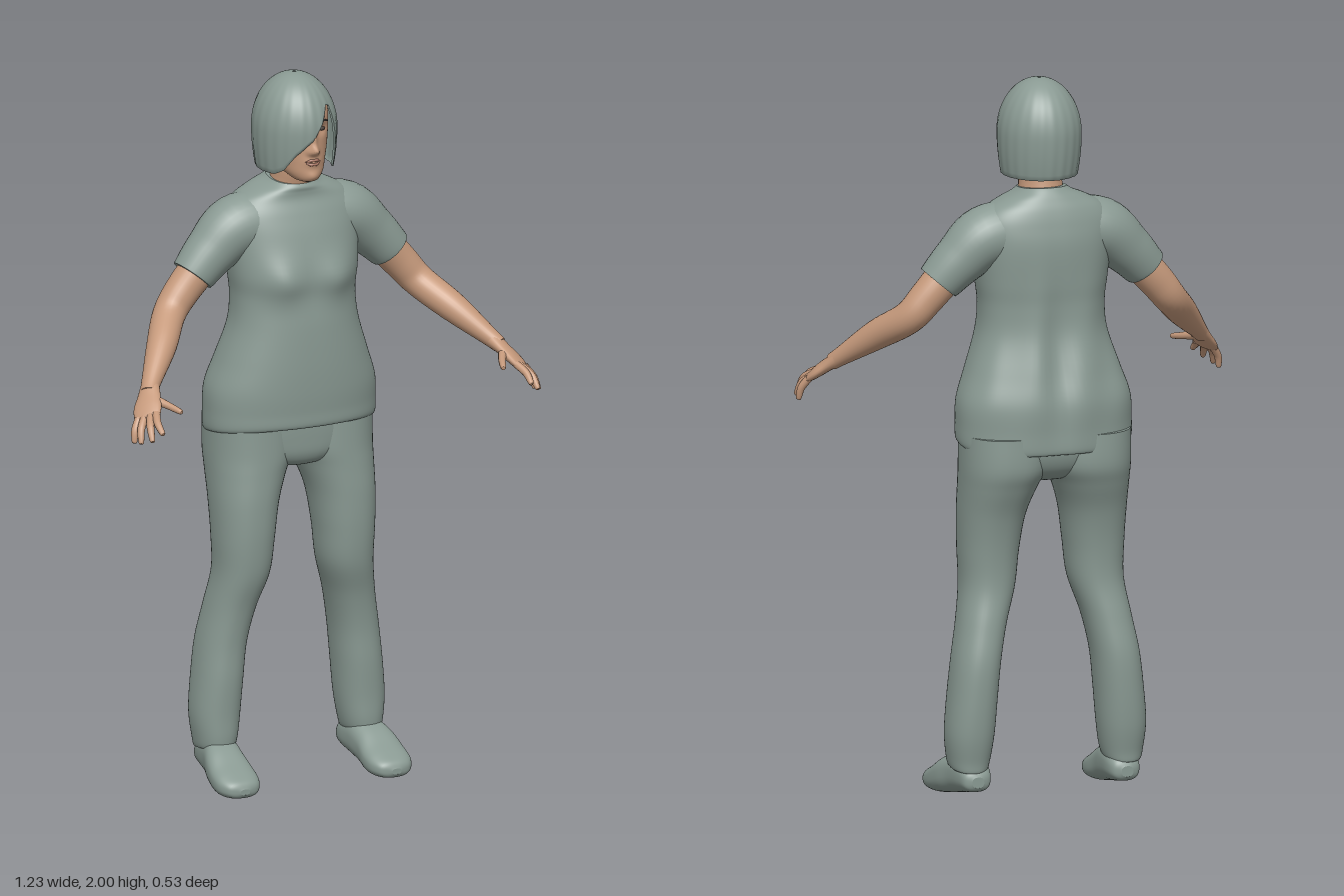
import * as THREE from 'three';

const mat = (name, color) => {
  const m = new THREE.MeshStandardMaterial({ color });
  m.name = name;
  return m;
};

// Catmull-Rom densifying of rows of numbers, k steps per span
function smooth(rows, k) {
  const out = [], last = rows.length - 1;
  for (let i = 0; i < last; i++) {
    const [a, b, c, d] = [rows[Math.max(i - 1, 0)], rows[i], rows[i + 1], rows[Math.min(i + 2, last)]];
    for (let s = 0; s < k; s++) {
      const t = s / k;
      out.push(b.map((_, j) => b[j] + 0.5 * t * (c[j] - a[j] +
        t * (2 * a[j] - 5 * b[j] + 4 * c[j] - d[j] + t * (3 * (b[j] - c[j]) + d[j] - a[j])))));
    }
  }
  out.push(rows[last]);
  return out;
}

// Skin over closed rings of Vector3, with crisp end caps
function skin(rings, caps = true) {
  const n = rings[0].length, pos = [], idx = [];
  rings.forEach(r => r.forEach(p => pos.push(p.x, p.y, p.z)));
  for (let i = 0; i < rings.length - 1; i++)
    for (let j = 0; j < n; j++) {
      const a = i * n + j, b = i * n + (j + 1) % n;
      idx.push(a, b, a + n, b, b + n, a + n);
    }
  if (caps) [rings[0], rings[rings.length - 1]].forEach((r, e) => {
    const base = pos.length / 3, c = new THREE.Vector3();
    r.forEach(p => { pos.push(p.x, p.y, p.z); c.addScaledVector(p, 1 / n); });
    pos.push(c.x, c.y, c.z);
    for (let j = 0; j < n; j++) {
      const a = base + j, b = base + (j + 1) % n;
      if (e) idx.push(a, b, base + n); else idx.push(b, a, base + n);
    }
  });
  const g = new THREE.BufferGeometry();
  g.setAttribute('position', new THREE.Float32BufferAttribute(pos, 3));
  g.setIndex(idx);
  g.computeVertexNormals();
  return g;
}

const pw = (v, p) => Math.sign(v) * Math.abs(v) ** (2 / p);

// Loft of superellipses. axis y: rows [y, x0, x1, zBack, zFront]; axis z: rows [z, x0, x1, y0, y1]
function loft(rows, { n = 48, k = 6, p = 2, axis = 'y', bend } = {}) {
  return skin(smooth(rows, k).map(([t, a0, a1, b0, b1]) => Array.from({ length: n }, (_, j) => {
    const f = j / n * Math.PI * 2;
    const a = (a0 + a1) / 2 + (a1 - a0) / 2 * pw(Math.sin(f), p);
    const b = (b0 + b1) / 2 + (b1 - b0) / 2 * pw(Math.cos(f), p);
    const v = axis === 'y' ? new THREE.Vector3(a, t, b) : new THREE.Vector3(a, b, t);
    if (bend) bend(v);
    return v;
  })));
}

// Limb along a path: rows [x, y, z, halfWidth, halfThickness]; side is the width direction
function limb(rows, side = [0, 0, -1], n = 20, k = 6) {
  const r = smooth(rows, k), at = i => new THREE.Vector3(...r[Math.min(Math.max(i, 0), r.length - 1)]);
  return skin(r.map((row, i) => {
    const T = at(i + 1).sub(at(i - 1)).normalize(), S = new THREE.Vector3(...side);
    S.addScaledVector(T, -S.dot(T)).normalize();
    const N = S.clone().cross(T);
    return Array.from({ length: n }, (_, j) => {
      const f = j / n * Math.PI * 2;
      return at(i).addScaledVector(S, row[3] * Math.sin(f)).addScaledVector(N, row[4] * Math.cos(f));
    });
  }));
}

function mirror(geo) {
  const g = geo.clone().scale(-1, 1, 1), ix = g.index.array;
  for (let i = 0; i < ix.length; i += 3) [ix[i], ix[i + 1]] = [ix[i + 1], ix[i]];
  g.computeVertexNormals();
  return g;
}

const bump = (d, s) => Math.exp(-(d * d) / (s * s));

// Bob: dome whose lower edge follows a hairline given as [angle, height]
function bob() {
  const line = [[-180, 1.735], [-60, 1.735], [-44, 1.75], [-26, 1.795], [0, 1.84], [15, 1.885], [28, 1.925],
    [36, 1.92], [42, 1.84], [48, 1.75], [60, 1.735], [180, 1.735]];
  const edge = a => {
    const i = line.findIndex((l, j) => j > 0 && a <= l[0]), [p, q] = [line[i - 1], line[i]];
    return p[1] + (q[1] - p[1]) * (a - p[0]) / (q[0] - p[0]);
  };
  const rings = [], n = 180, m = 32;
  for (let i = 0; i <= m + 1; i++) rings.push(Array.from({ length: n }, (_, j) => {
    const deg = j / n * 360 - 180, f = deg * Math.PI / 180, v = Math.min(i / m, 1);
    const d = (2 - edge(deg)) * (0.0005 + 0.9995 * v ** 1.7);
    let s = d < 0.15 ? Math.sqrt(1 - ((0.15 - d) / 0.15) ** 2) : 1 - 7 * (d - 0.15) ** 2;
    s *= 1 + 0.007 * v * Math.sin(f * 22 + 3 * v);
    if (i > m) s *= 0.95; // tucked rim
    return new THREE.Vector3(0.114 * s * Math.sin(f), 2 - d, -0.07 + 0.131 * s * Math.cos(f));
  }).reverse());
  return skin(rings, false);
}

export function createModel() {
  const model = new THREE.Group();
  const cloth = mat('greyGreen', 0x8a9a93), skinTone = mat('skin', 0xc69a7c);
  const dark = mat('darkEye', 0x4c423c), lip = mat('lips', 0xab7866);
  const hairMat = mat('hairGreyGreen', 0x8a9a93);
  hairMat.side = THREE.DoubleSide;

  const add = (name, geo, m) => {
    const mesh = new THREE.Mesh(geo, m);
    mesh.name = name;
    model.add(mesh);
  };
  const both = (name, geo, m) => {
    add(name + 'Left', geo, m);
    add(name + 'Right', mirror(geo), m);
  };
  const sym = rows => rows.map(([y, w, zb, zf]) => [y, -w, w, zb, zf]);

  // Head with modelled face
  add('head', loft(sym([
    [1.712, 0.018, -0.02, 0.028], [1.72, 0.036, -0.05, 0.044], [1.74, 0.055, -0.1, 0.05],
    [1.77, 0.068, -0.15, 0.051], [1.81, 0.078, -0.17, 0.05], [1.86, 0.083, -0.18, 0.05],
    [1.91, 0.082, -0.175, 0.044], [1.95, 0.062, -0.15, 0.015], [1.975, 0.03, -0.1, -0.03],
  ]), { n: 112, k: 9, bend: v => {
    if (v.z < -0.01) return;
    const ax = Math.abs(v.x), { x, y } = v;
    v.z += 0.024 * bump(x, 0.012) * bump(y - 1.808, 0.014) + 0.012 * bump(x, 0.011) * bump(y - 1.838, 0.026)
      + 0.007 * bump(ax - 0.012, 0.008) * bump(y - 1.802, 0.009)
      - 0.009 * bump(ax - 0.032, 0.017) * bump(y - 1.86, 0.013) + 0.004 * bump(x, 0.05) * bump(y - 1.886, 0.012)
      + 0.006 * bump(x, 0.02) * bump(y - 1.774, 0.014) + 0.006 * bump(x, 0.02) * bump(y - 1.732, 0.014);
  } }), skinTone);
  both('eye', new THREE.SphereGeometry(1, 16, 10).scale(0.013, 0.006, 0.006).translate(0.032, 1.86, 0.031), dark);
  both('brow', limb([[0.014, 1.88, 0.048, 0.002, 0.002], [0.034, 1.886, 0.043, 0.003, 0.003],
    [0.054, 1.879, 0.027, 0.002, 0.002]], [0, 1, 0], 8), dark);
  [['upperLip', 1.779], ['lowerLip', 1.768]].forEach(([name, y]) => add(name, limb([
    [-0.023, 1.774, 0.046, 0.001, 0.001], [-0.01, y, 0.0535, 0.004, 0.004], [0, y, 0.055, 0.004, 0.004],
    [0.01, y, 0.0535, 0.004, 0.004], [0.023, 1.774, 0.046, 0.001, 0.001]], [0, 1, 0], 10), lip));
  add('hair', bob(), hairMat);
  add('neck', loft(sym([[1.64, 0.075, -0.16, -0.03], [1.69, 0.062, -0.152, -0.018],
    [1.73, 0.058, -0.145, -0.008], [1.78, 0.058, -0.14, -0.01]])), skinTone);

  // Loose shirt with bust, spine groove and soft folds
  add('shirt', loft(sym([
    [1.02, 0.222, -0.235, 0.025], [1.0, 0.235, -0.25, 0.04], [1.008, 0.245, -0.259, 0.05],
    [1.05, 0.246, -0.26, 0.052], [1.12, 0.242, -0.26, 0.056], [1.2, 0.215, -0.242, 0.057],
    [1.3, 0.183, -0.218, 0.053], [1.38, 0.176, -0.213, 0.045], [1.45, 0.184, -0.216, 0.046],
    [1.55, 0.193, -0.217, 0.024], [1.61, 0.192, -0.208, 0.004], [1.65, 0.165, -0.197, -0.012],
    [1.675, 0.122, -0.184, -0.014], [1.692, 0.082, -0.172, -0.012], [1.703, 0.066, -0.163, -0.017],
  ]), { n: 96, p: 2.3, bend: v => {
    const { x, y, z } = v, front = THREE.MathUtils.clamp((z + 0.1) / 0.14, -1, 1);
    if (z > -0.08) v.z += 0.018 * bump(Math.abs(x) - 0.085, 0.055) * bump(y - 1.435, 0.06) * Math.max(front, 0);
    else {
      const w = bump(y - 1.28, 0.2) * Math.min(1, -front);
      v.z += w * (0.016 * bump(x, 0.035) + 0.005 * Math.sin(x * 45 + y * 7));
    }
    v.y += 0.018 * front * bump(y - 1, 0.07) - 0.014 * front * bump(y - 1.7, 0.03);
  } }), cloth);
  both('sleeve', limb([[0.06, 1.585, -0.1, 0.085, 0.085], [0.165, 1.572, -0.1, 0.088, 0.086],
    [0.24, 1.512, -0.097, 0.073, 0.072], [0.288, 1.463, -0.092, 0.063, 0.063],
    [0.298, 1.452, -0.091, 0.06, 0.06]], [0, 0, -1], 32), cloth);

  // Arms and hands
  both('arm', limb([[0.26, 1.49, -0.092, 0.053, 0.053], [0.33, 1.412, -0.09, 0.048, 0.049],
    [0.378, 1.355, -0.072, 0.046, 0.045], [0.44, 1.295, 0.01, 0.042, 0.041],
    [0.51, 1.225, 0.092, 0.028, 0.026], [0.53, 1.204, 0.118, 0.026, 0.022]], [0, 0, -1], 28), skinTone);
  const across = [0.7, -0.3, -0.6];
  both('palm', limb([[0.517, 1.218, 0.1, 0.026, 0.023], [0.535, 1.196, 0.13, 0.034, 0.018],
    [0.552, 1.175, 0.157, 0.041, 0.016], [0.564, 1.157, 0.182, 0.038, 0.012],
    [0.568, 1.151, 0.19, 0.03, 0.006]], across), skinTone);
  [['indexFinger', [0.545, 1.167, 0.196], [0.557, 1.15, 0.232], [0.557, 1.13, 0.262]],
    ['middleFinger', [0.558, 1.161, 0.188], [0.576, 1.14, 0.225], [0.582, 1.11, 0.25]],
    ['ringFinger', [0.571, 1.155, 0.177], [0.592, 1.13, 0.2], [0.6, 1.098, 0.217]],
    ['littleFinger', [0.583, 1.15, 0.165], [0.6, 1.122, 0.178], [0.605, 1.092, 0.185]],
    ['thumb', [0.532, 1.195, 0.14], [0.506, 1.184, 0.185], [0.488, 1.175, 0.23]],
  ].forEach(([name, a, b, c]) => {
    const r = name === 'thumb' ? 0.014 : 0.011, tip = c.map((v, i) => v + (c[i] - b[i]) * 0.1);
    both(name, limb([[...a, r, r], [...b, 0.0105, 0.0105], [...c, 0.0075, 0.0075], [...tip, 0.002, 0.002]],
      across, 12), skinTone);
  });

  // Trousers
  add('trouserSeat', loft(sym([[0.885, 0.03, -0.12, -0.06], [0.9, 0.09, -0.18, -0.01], [0.93, 0.17, -0.22, 0.012],
    [0.98, 0.222, -0.24, 0.018], [1.04, 0.232, -0.24, 0.02]]), { p: 2.4 }), cloth);
  both('trouserLeg', loft([
    [0.115, 0.185, 0.255, -0.165, -0.06], [0.1, 0.172, 0.27, -0.182, -0.045], [0.13, 0.162, 0.278, -0.187, -0.04],
    [0.2, 0.152, 0.284, -0.2, -0.039], [0.3, 0.144, 0.276, -0.206, -0.034], [0.4, 0.134, 0.264, -0.205, -0.032],
    [0.5, 0.113, 0.246, -0.19, -0.018], [0.6, 0.082, 0.231, -0.175, 0.009], [0.7, 0.07, 0.233, -0.18, 0.021],
    [0.8, 0.055, 0.236, -0.2, 0.024], [0.88, 0.028, 0.237, -0.23, 0.022], [0.94, 0.002, 0.238, -0.25, 0.021],
    [1.03, 0.0, 0.238, -0.25, 0.02],
  ], { p: 2.25, bend: v => { v.y += 0.12 * (v.z + 0.11) * bump(v.y - 0.1, 0.08); } }), cloth);

  // Shoes, toe to heel
  both('shoe', loft([
    [0.101, 0.215, 0.243, 0.016, 0.032], [0.09, 0.185, 0.273, 0.005, 0.05], [0.06, 0.168, 0.291, 0, 0.066],
    [0.02, 0.164, 0.293, 0, 0.085], [-0.03, 0.168, 0.286, 0.009, 0.115], [-0.08, 0.167, 0.272, 0.02, 0.132],
    [-0.14, 0.167, 0.262, 0.032, 0.122], [-0.175, 0.177, 0.252, 0.04, 0.1], [-0.187, 0.198, 0.232, 0.052, 0.082],
  ], { p: 2.5, axis: 'z' }), cloth);

  return model;
}
